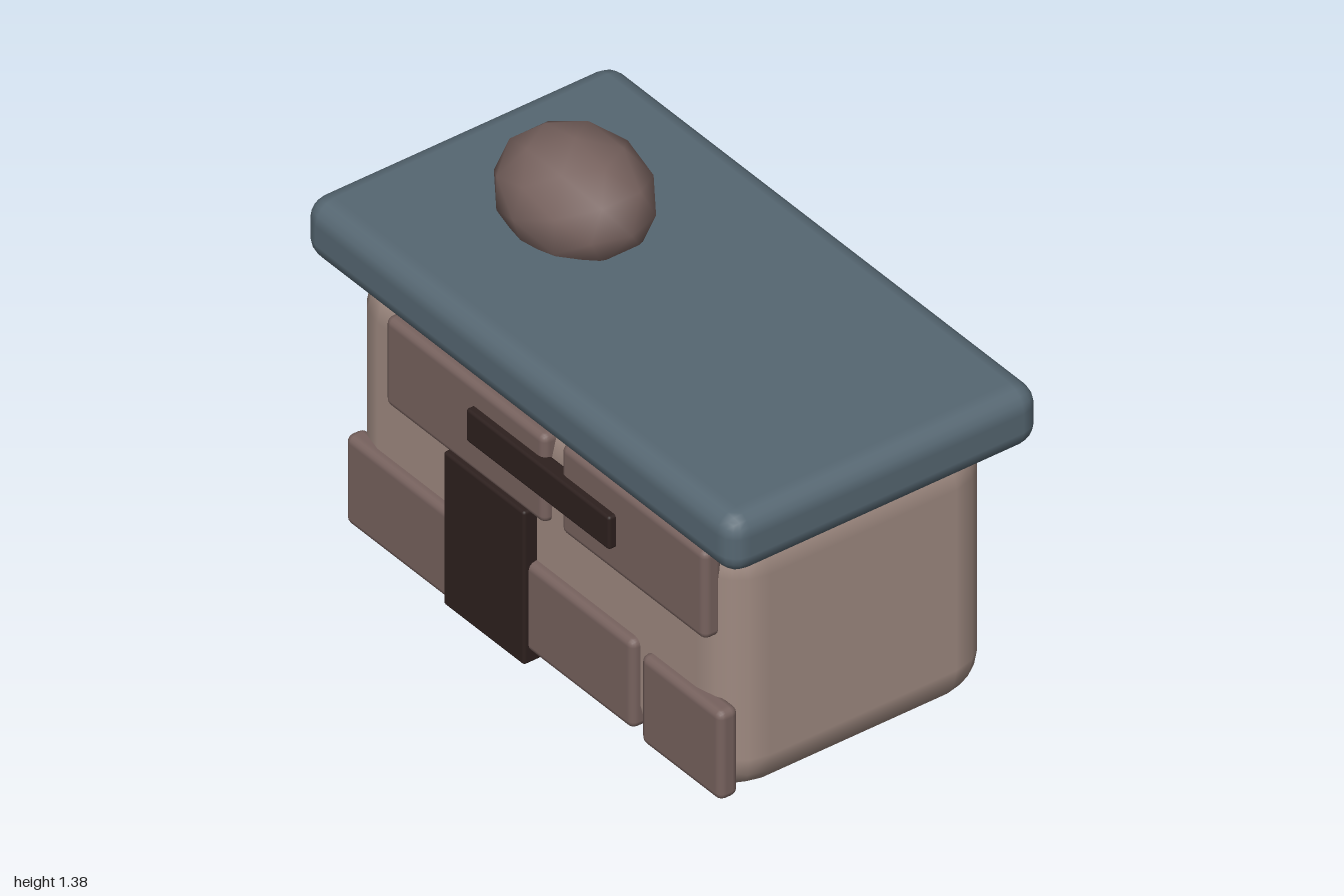
import * as THREE from 'three';
import { RoundedBoxGeometry } from 'three/addons/geometries/RoundedBoxGeometry.js';

const paint = (color) => new THREE.MeshStandardMaterial({ color });

export function createModel() {
  const model = new THREE.Group();
  const wall = paint(0x9f8a81);
  const slate = paint(0x566772);
  const stone = paint(0x77625e);
  const dark = paint(0x2d201e);

  // Rounded box given by its extents on each axis
  function block(name, material, [x0, x1], [y0, y1], [z0, z1], radius, segments = 2) {
    const geometry = new RoundedBoxGeometry(x1 - x0, y1 - y0, z1 - z0, segments, radius);
    const mesh = new THREE.Mesh(geometry, material);
    mesh.position.set((x0 + x1) / 2, (y0 + y1) / 2, (z0 + z1) / 2);
    mesh.name = name;
    model.add(mesh);
  }

  // Main body and overhanging roof slab
  block('body', wall, [-0.89, 0.89], [0, 0.93], [-0.48, 0.48], 0.15);
  block('roof', slate, [-1, 1], [0.905, 1.11], [-0.555, 0.555], 0.07);

  // Raised stone panels on the front
  const stones = [
    [[-0.67, 0.07], [0.55, 0.86]],
    [[0.145, 0.815], [0.575, 0.885]],
    [[-0.855, -0.24], [0.03, 0.34]],
    [[-0.17, 0.48], [0.07, 0.38]],
    [[0.515, 0.888], [0.055, 0.365]],
  ];
  stones.forEach(([x, y], i) => block(`stonePanel${i + 1}`, stone, x, y, [0.44, 0.51], 0.025));

  // Door and the bar above it
  block('door', dark, [-0.375, 0], [0.03, 0.565], [0.46, 0.527], 0.01);
  block('frontBar', dark, [-0.26, 0.405], [0.67, 0.785], [0.48, 0.535], 0.01);

  // Boulder half sunk into the roof
  const boulder = new THREE.Mesh(new THREE.IcosahedronGeometry(1, 1), stone);
  boulder.scale.set(0.265, 0.19, 0.22);
  boulder.position.set(-0.45, 1.19, 0);
  boulder.name = 'roofBoulder';
  model.add(boulder);

  return model;
}
